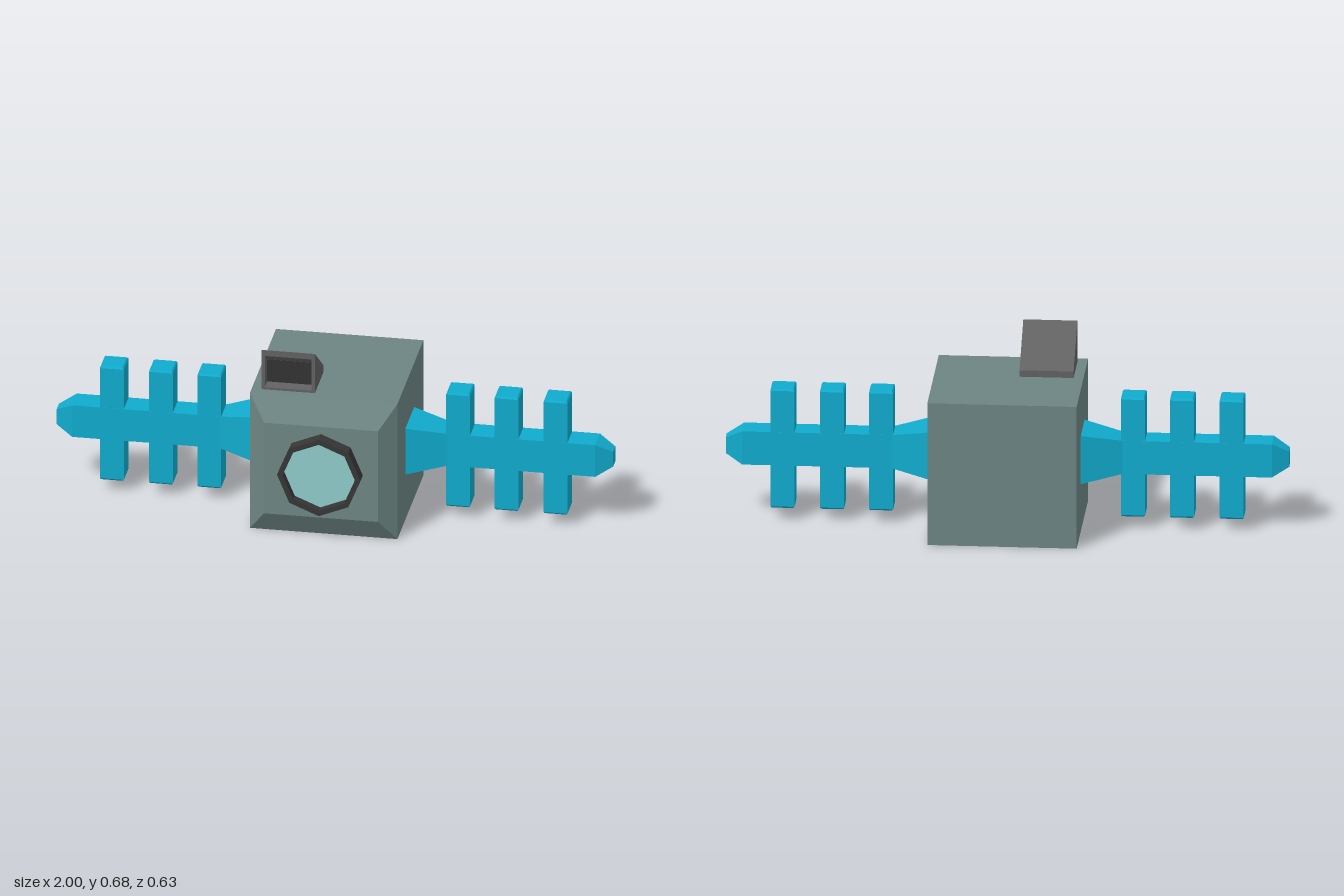
import * as THREE from 'three';

const mat = (color) => new THREE.MeshStandardMaterial({ color, flatShading: true });

// Solid with rectangular cross-sections [z, halfWidth, halfHeight], lofted along +z
function loft(sections) {
  const rings = sections.map(([z, w, h]) => [[-w, -h, z], [w, -h, z], [w, h, z], [-w, h, z]]);
  const pos = [];
  const quad = (a, b, c, d) => pos.push(...a, ...b, ...c, ...a, ...c, ...d);
  for (let i = 0; i < rings.length - 1; i++) {
    for (let k = 0; k < 4; k++) {
      const n = (k + 1) % 4;
      quad(rings[i][k], rings[i][n], rings[i + 1][n], rings[i + 1][k]);
    }
  }
  const last = rings[rings.length - 1];
  quad(...last);
  quad(...[...rings[0]].reverse());
  const geo = new THREE.BufferGeometry();
  geo.setAttribute('position', new THREE.Float32BufferAttribute(pos, 3));
  geo.computeVertexNormals();
  return geo;
}

// Side profile of [z, y] points extruded across x, from x1 down to x1 - width
function slab(points, width, x1) {
  const shape = new THREE.Shape(points.map(([z, y]) => new THREE.Vector2(z, y)));
  return new THREE.ExtrudeGeometry(shape, { depth: width, bevelEnabled: false })
    .rotateY(-Math.PI / 2).translate(x1, 0, 0);
}

export function createModel() {
  const model = new THREE.Group();
  model.name = 'model';
  const add = (parent, name, geo, material) => {
    const mesh = new THREE.Mesh(geo, material);
    mesh.name = name;
    parent.add(mesh);
    return mesh;
  };
  const bodyMat = mat(0x6d8583), armMat = mat(0x10abcd), rimMat = mat(0x363636);
  const lensMat = mat(0x8ecbc9), hoodMat = mat(0x626262), darkMat = mat(0x333333);

  // Cube body with a chamfered front
  const body = loft([[-0.315, 0.265, 0.265], [0.215, 0.265, 0.265], [0.268, 0.205, 0.178]]);
  add(model, 'body', body, bodyMat).position.y = 0.266;

  // Octagonal eye: raised rim around a recessed lens
  const eye = new THREE.Group();
  eye.name = 'eye';
  eye.position.set(0, 0.266, 0.266);
  const octagon = (r, Type) => new Type(Array.from({ length: 8 }, (_, i) =>
    new THREE.Vector2(r * Math.cos(i * Math.PI / 4), r * Math.sin(i * Math.PI / 4))));
  const rim = octagon(0.15, THREE.Shape);
  rim.holes.push(octagon(0.13, THREE.Path));
  add(eye, 'eyeRim', new THREE.ExtrudeGeometry(rim, { depth: 0.049, bevelEnabled: false }), rimMat);
  add(eye, 'eyeLens', new THREE.CircleGeometry(0.131, 8), lensMat).position.z = 0.018;
  model.add(eye);

  // Wedge hood on the roof, open at the front
  const hood = new THREE.Group();
  hood.name = 'roofHood';
  const wedge = [[0, 0.53], [0.178, 0.53], [0.178, 0.685], [0, 0.555]];
  const hollow = [[0, 0.53], [0.178, 0.53], [0.178, 0.54], [0.13, 0.54],
    [0.13, 0.627], [0.178, 0.662], [0.178, 0.685], [0, 0.555]];
  add(hood, 'hoodSide', slab(wedge, 0.012, -0.038), hoodMat);
  add(hood, 'hoodSide', slab(wedge, 0.012, -0.218), hoodMat);
  add(hood, 'hoodShell', slab(hollow, 0.168, -0.05), hoodMat);
  const inner = add(hood, 'hoodOpening', new THREE.PlaneGeometry(0.168, 0.087), darkMat);
  inner.position.set(-0.134, 0.5835, 0.131);
  model.add(hood);

  // Arms: flared root, straight bar, tapered tip and three cross fins
  const armGeo = loft([[0.26, 0.092, 0.091], [0.41, 0.049, 0.062],
    [0.94, 0.049, 0.062], [1.0, 0.023, 0.029]]).rotateY(Math.PI / 2);
  const finGeo = loft([[-0.222, 0.038, 0.043], [-0.216, 0.043, 0.048],
    [0.216, 0.043, 0.048], [0.222, 0.038, 0.043]]).rotateX(-Math.PI / 2);
  for (const side of ['left', 'right']) {
    const arm = new THREE.Group();
    arm.name = side + 'Arm';
    arm.position.set(0, 0.268, -0.036);
    if (side === 'right') arm.rotation.y = Math.PI;
    add(arm, 'armBar', armGeo, armMat);
    for (const x of [0.447, 0.621, 0.797]) add(arm, 'armFin', finGeo, armMat).position.x = x;
    model.add(arm);
  }
  return model;
}
